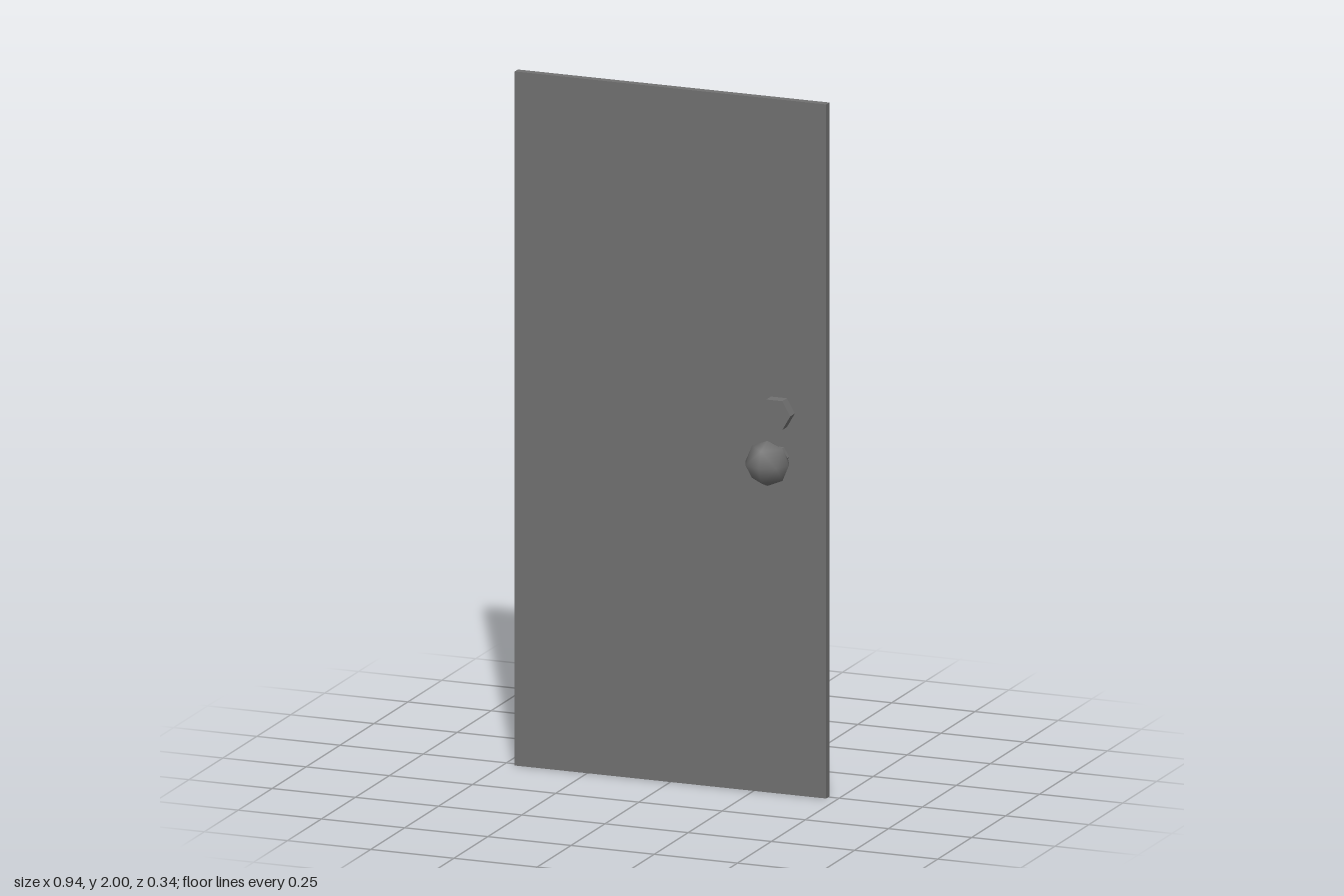
import * as THREE from 'three';

const KNOB_X = 0.326;

export function createModel() {
  const model = new THREE.Group();
  const smooth = new THREE.MeshStandardMaterial({ color: 0x707070 });
  const flat = new THREE.MeshStandardMaterial({ color: 0x707070, flatShading: true });

  const add = (name, geometry, material, x, y, z) => {
    const mesh = new THREE.Mesh(geometry, material);
    mesh.name = name;
    mesh.position.set(x, y, z);
    model.add(mesh);
  };

  // Hexagonal bar along z, with flats at top and bottom
  const hexBar = (radius, length) =>
    new THREE.CylinderGeometry(radius, radius, length, 6).rotateY(Math.PI / 6).rotateX(Math.PI / 2);

  // Door slab
  add('doorPanel', new THREE.BoxGeometry(0.936, 2, 0.023), flat, 0, 1, 0.006);

  // Lock barrel through the door, above the knobs
  add('lockBarrel', hexBar(0.048, 0.098), flat, KNOB_X, 1.1, 0.003);

  // Spindle joining the two knobs
  add('knobSpindle', hexBar(0.031, 0.13), flat, KNOB_X, 0.973, 0);

  // One faceted round knob on each side
  for (const [name, side] of [['frontKnob', 1], ['backKnob', -1]]) {
    add(name, new THREE.OctahedronGeometry(0.065, 1), smooth, KNOB_X, 0.973, side * 0.104);
  }

  return model;
}
